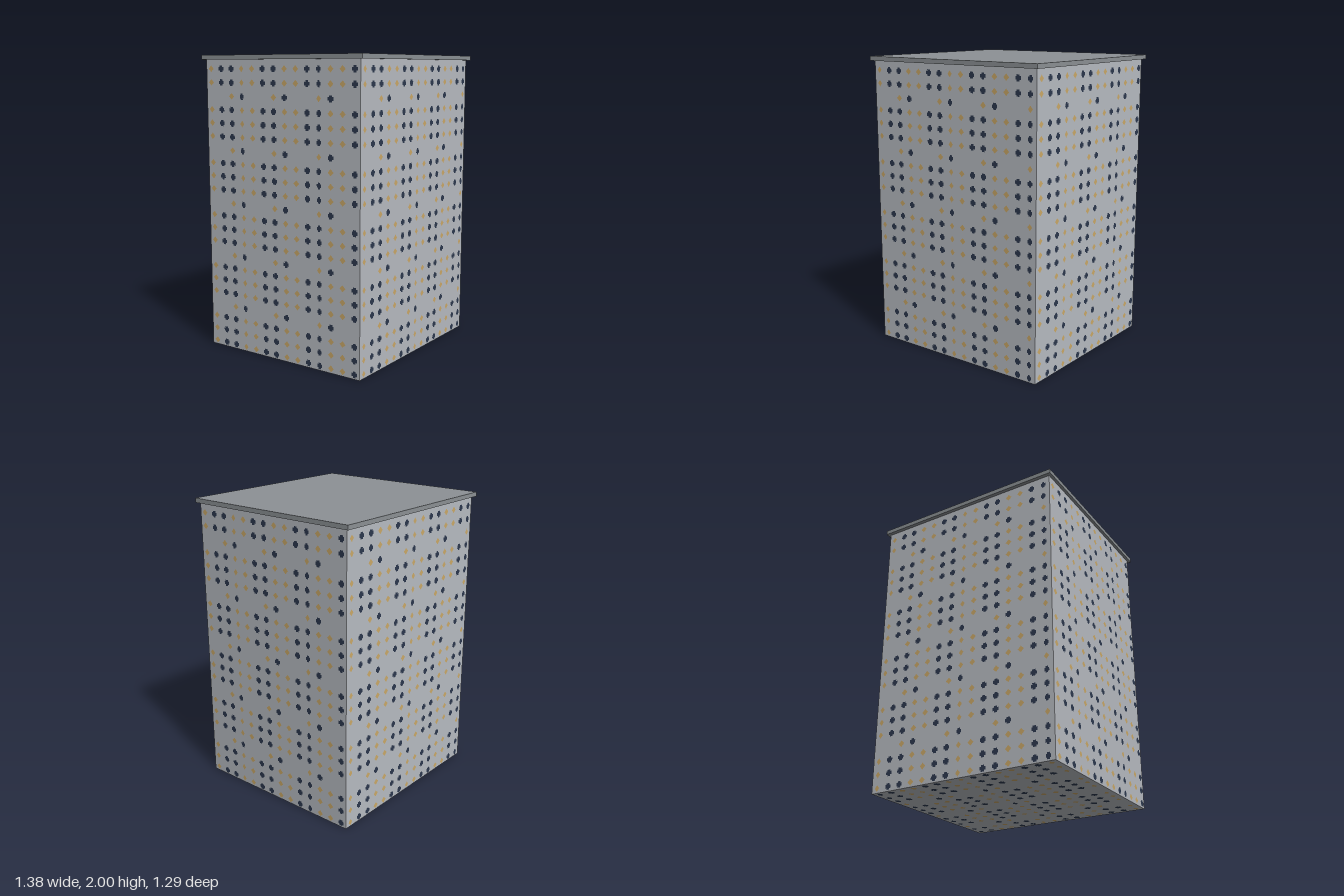
import * as THREE from 'three';
import { mergeGeometries } from 'three/addons/utils/BufferGeometryUtils.js';

const W = 1.34, D = 1.244, H = 1.97; // tower body
const PITCH = 0.0894;                // window spacing

const mats = {};
for (const [name, color] of Object.entries({
  wallGrey: 0xb8bcc2, roofGrey: 0x8c9195, darkGlass: 0x2c384e, litGlass: 0xcba968,
})) {
  mats[name] = new THREE.MeshStandardMaterial({ color });
  mats[name].name = name;
}

// Small cross-shaped dark pane
function crossPane() {
  const a = 0.021, b = 0.011;
  return new THREE.ShapeGeometry(new THREE.Shape([
    [a, -b], [a, b], [b, b], [b, a], [-b, a], [-b, b],
    [-a, b], [-a, -b], [-b, -b], [-b, -a], [b, -a], [b, -b],
  ].map(([x, y]) => new THREE.Vector2(x, y))));
}

// Window pattern: three regular rows, then one sparse row
function paneKind(i, j) {
  if (j % 4 === 3) return [null, null, 'litGlass', 'darkGlass'][i % 4];
  return ['litGlass', 'darkGlass', 'darkGlass', 'litGlass'][i % 4];
}

// Flat window grid facing +z, with its bottom edge on y = 0
function windowGrid(name, width, cols, rows, narrow) {
  const panes = { darkGlass: [], litGlass: [] };
  for (let j = 0; j < rows; j++) {
    for (let i = 0; i < cols; i++) {
      const kind = paneKind(i, j);
      if (!kind) continue;
      const pane = kind === 'darkGlass' ? crossPane() : new THREE.CircleGeometry(0.022, 4);
      pane.scale(i % 7 === narrow ? 0.8 : 1, 1, 1);
      pane.translate(-width / 2 + 0.043 + i * PITCH, 0.033 + j * PITCH, 0);
      panes[kind].push(pane);
    }
  }
  const group = new THREE.Group();
  group.name = name;
  for (const kind in panes) {
    const mesh = new THREE.Mesh(mergeGeometries(panes[kind]), mats[kind]);
    mesh.name = kind === 'darkGlass' ? 'darkWindows' : 'litWindows';
    group.add(mesh);
  }
  return group;
}

export function createModel() {
  const model = new THREE.Group();
  model.name = 'towerBlock';
  const box = (name, w, h, d, y, mat) => {
    const mesh = new THREE.Mesh(new THREE.BoxGeometry(w, h, d), mat);
    mesh.name = name;
    mesh.position.y = y;
    model.add(mesh);
  };

  // Body and overhanging roof slab
  box('body', W, H - 0.002, D, H / 2 + 0.001, mats.wallGrey);
  box('roofSlab', 1.38, 0.03, 1.294, 1.985, mats.roofGrey);

  // Windows on the four walls
  ['front', 'left', 'back', 'right'].forEach((side, k) => {
    const wide = k % 2 === 0;
    const grid = windowGrid(side + 'Windows', wide ? W : D, wide ? 15 : 14, 22, wide ? 0 : 3);
    const out = (wide ? D : W) / 2 + 0.002;
    grid.rotation.y = k * Math.PI / 2;
    grid.position.set(Math.sin(grid.rotation.y) * out, 0, Math.cos(grid.rotation.y) * out);
    model.add(grid);
  });

  // The same pattern on the underside
  const under = windowGrid('undersidePattern', W, 15, 14, 0);
  under.rotation.x = Math.PI / 2;
  under.position.z = -D / 2;
  model.add(under);
  return model;
}
